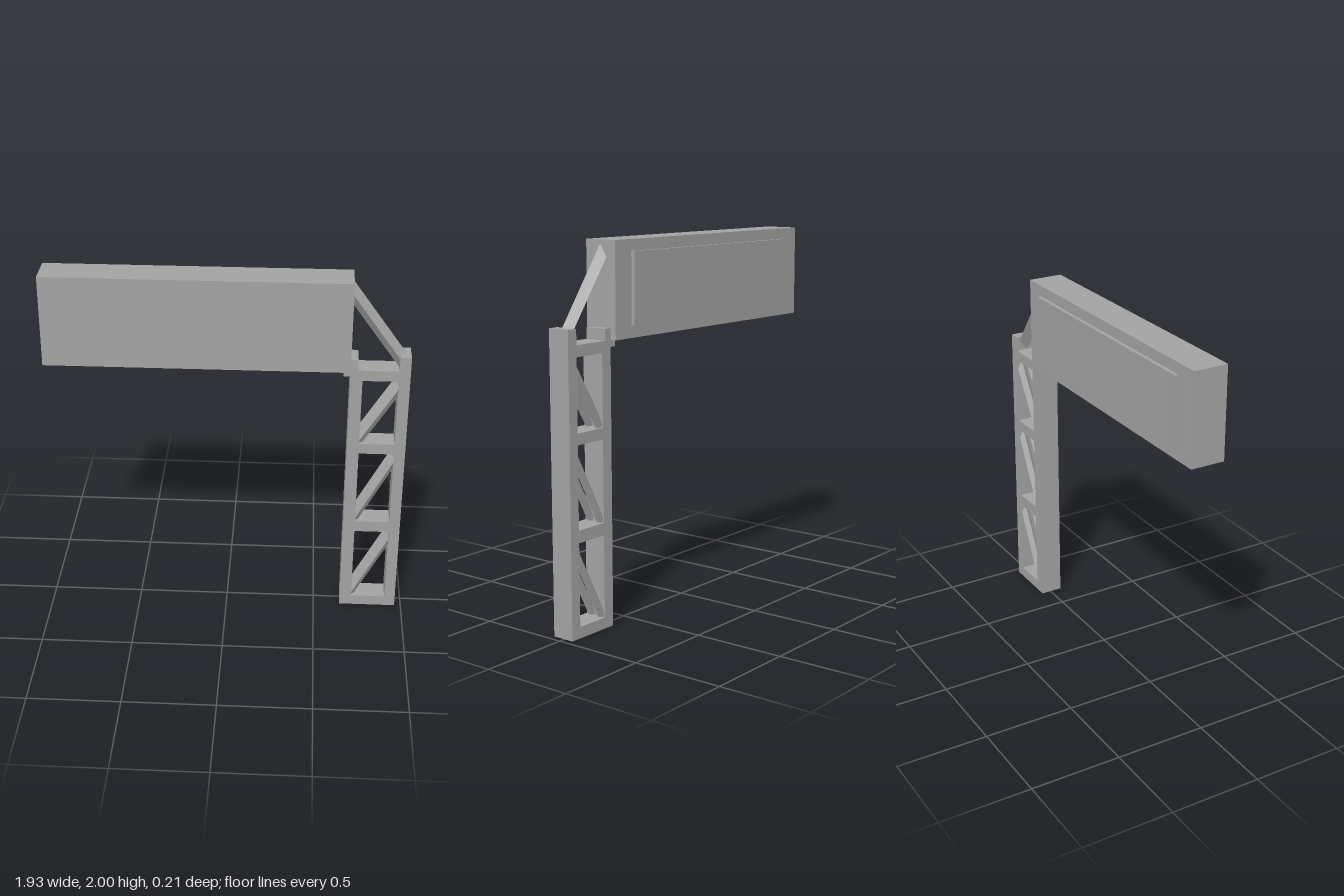
import * as THREE from 'three';

export function createModel() {
  const model = new THREE.Group();
  model.name = 'cantileverSign';
  const steel = new THREE.MeshStandardMaterial({ color: 0xa3a3a3 });
  steel.name = 'grey steel';

  const add = (name, geometry) => {
    const mesh = new THREE.Mesh(geometry, steel);
    mesh.name = name;
    model.add(mesh);
  };

  // Box given by its limits on each axis
  const box = (name, x0, x1, y0, y1, z0, z1) => {
    const g = new THREE.BoxGeometry(x1 - x0, y1 - y0, z1 - z0);
    g.translate((x0 + x1) / 2, (y0 + y1) / 2, (z0 + z1) / 2);
    add(name, g);
  };

  // Sloping bar of diamond section, with both ends cut upright
  const diamondBar = (name, x0, y0, x1, y1, z, halfHeight, halfDepth) => {
    let g = new THREE.CylinderGeometry(1, 1, 1, 4);
    g.rotateZ(-Math.PI / 2);
    g.scale(x1 - x0, halfHeight, halfDepth);
    const slope = (y1 - y0) / (x1 - x0);
    const p = g.attributes.position;
    for (let i = 0; i < p.count; i++) p.setY(i, p.getY(i) + slope * p.getX(i));
    g.translate((x0 + x1) / 2, (y0 + y1) / 2, z);
    g = g.toNonIndexed();
    g.computeVertexNormals();
    add(name, g);
  };

  const zBack = -0.055, zFront = 0.07, zMid = 0.007;

  // Board with a raised panel on its back
  box('board', -0.97, 0.65, 1.5, 2, -0.09, 0.1);
  box('backPanel', -0.845, 0.525, 1.565, 1.94, -0.11, -0.09);

  // Tower legs
  box('innerLeg', 0.65, 0.715, 0, 1.5, zBack, zFront);
  box('outerLeg', 0.905, 0.965, 0, 1.58, zBack, zFront);

  // Rungs between the legs
  const rungs = [[0, 0.06], [0.5, 0.565], [1, 1.06], [1.44, 1.5]];
  for (const [y0, y1] of rungs) box('rung', 0.715, 0.905, y0, y1, zBack, zFront);

  // A pair of diagonal braces in each bay
  for (let i = 0; i < 3; i++) {
    const low = rungs[i][1] + 0.01, high = rungs[i + 1][0] - 0.045;
    for (const side of [-1, 1]) {
      diamondBar('brace', 0.71, low, 0.91, high, zMid + side * 0.033, 0.053, 0.025);
    }
  }

  // Bracket holding the lower corner of the board
  box('bracketUpright', 0.65, 0.69, 1.5, 1.56, zBack, zFront);
  box('bracketLedge', 0.615, 0.65, 1.465, 1.5, zBack, zFront);

  // Sloping stay from the outer leg to the top of the board
  diamondBar('stay', 0.64, 1.929, 0.95, 1.501, zMid, 0.065, 0.04);

  return model;
}
